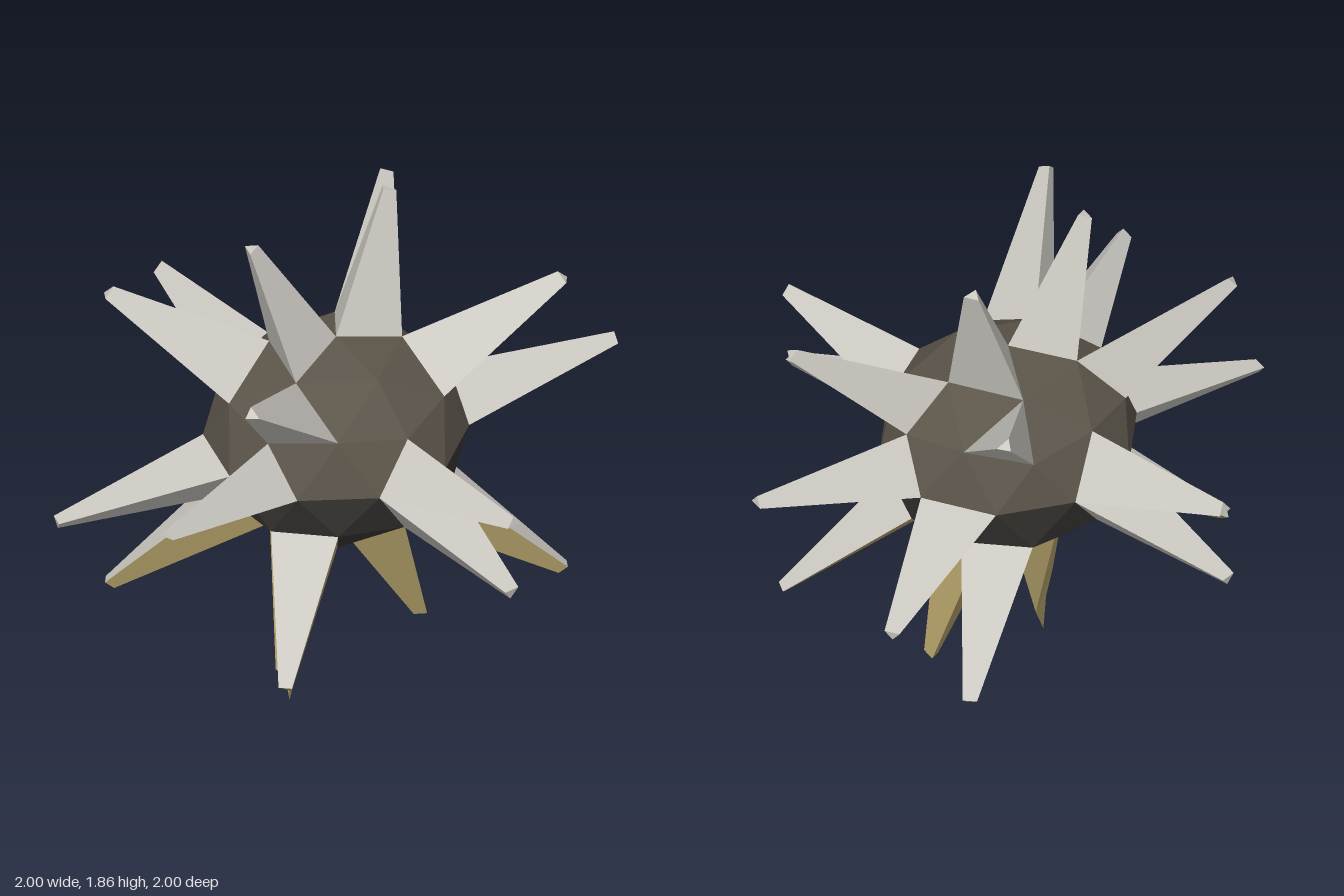
import * as THREE from 'three';

const RADII = new THREE.Vector3(0.45, 0.39, 0.47); // body half sizes
const CENTRE = new THREE.Vector3(0, 1.015, 0);
const REACH = 2.38; // spike tip distance relative to its base
const TIP = 0.2; // tip size relative to its base

// Rings of body corners: [height, radius] on the unit sphere
const RINGS = { pole: [1, 0], cap: [0.8507, 0.5257], mid: [0.5257, 0.8507], shoulder: [0.4472, 0.8944], waist: [0, 1] };

function corner([ring, degrees]) {
  const [y, r] = RINGS[ring];
  const a = THREE.MathUtils.degToRad(degrees);
  return new THREE.Vector3(r * Math.cos(a), y, r * Math.sin(a));
}

const place = (v) => v.clone().multiply(RADII).add(CENTRE);

function facetMesh(name, triangles, material) {
  const geometry = new THREE.BufferGeometry().setFromPoints(triangles.flat());
  geometry.computeVertexNormals();
  const mesh = new THREE.Mesh(geometry, material);
  mesh.name = name;
  return mesh;
}

// Tip with a bent, pointed barb; ring is the three tip corners in order
function barbedTip([q, v1, v2]) {
  const c1 = new THREE.Vector3(0.07, 0.13, 0.26);
  const c2 = new THREE.Vector3(0.05, 0.12, 0.265);
  const apex = new THREE.Vector3(0.037, 0, 0.235);
  return [[q, v1, c1], [v1, c2, c1], [v1, v2, c2], [v2, q, c2], [q, c1, apex], [c1, c2, apex], [c2, q, apex]];
}

export function createModel() {
  const model = new THREE.Group();
  model.name = 'spikedBall';
  const makeMaterial = (name, color) => {
    const m = new THREE.MeshStandardMaterial({ color, flatShading: true });
    m.name = name;
    return m;
  };
  const brown = makeMaterial('darkBrown', 0x5c554a);
  const charcoal = makeMaterial('charcoal', 0x3a3734);
  const grey = makeMaterial('paleGrey', 0xcdcac3);
  const gold = makeMaterial('dullGold', 0xb5a26a);

  // Faceted body, with a darker lower half
  const ball = new THREE.IcosahedronGeometry(1, 1);
  ball.rotateZ(-Math.atan(2 / (1 + Math.sqrt(5))));
  const pos = ball.getAttribute('position');
  const upper = [];
  const lower = [];
  for (let i = 0; i < pos.count; i += 3) {
    const tri = [0, 1, 2].map((j) => new THREE.Vector3().fromBufferAttribute(pos, i + j));
    const half = tri[0].y + tri[1].y + tri[2].y > 0 ? upper : lower;
    half.push(tri.map(place));
  }
  model.add(facetMesh('upperBody', upper, brown), facetMesh('lowerBody', lower, charcoal));

  // Spike bases on the upper half: two on the mirror plane, four mirrored pairs
  const bases = [
    [['shoulder', 0], ['waist', 18], ['waist', -18]],
    [['mid', 180], ['waist', 162], ['waist', 198]],
  ];
  const pairs = [
    [['pole', 0], ['cap', 72], ['cap', 144]],
    [['shoulder', 72], ['cap', 72], ['mid', 36]],
    [['shoulder', 144], ['cap', 144], ['mid', 108]],
    [['shoulder', 72], ['waist', 54], ['waist', 90]],
  ];
  for (const p of pairs) {
    bases.push(p, p.map(([ring, a]) => [ring, -a]));
  }

  function addSpike(base, low, barbed) {
    let ring = base.map(corner);
    // The lower half repeats the upper one turned half way round z
    if (low) ring.forEach((v) => v.set(-v.x, -v.y, v.z));
    const [p, q, r] = ring;
    if (p.dot(q.clone().cross(r)) < 0) ring = [p, r, q];
    const mid = ring[0].clone().add(ring[1]).add(ring[2]).divideScalar(3);
    const foot = ring.map(place);
    const tip = ring.map((v) => place(v.clone().sub(mid).multiplyScalar(TIP).addScaledVector(mid, REACH)));
    if (barbed) tip[0].set(0.0, 0.14, 0.15);

    const greyFaces = [];
    const goldFaces = [];
    for (let i = 0; i < 3; i++) {
      const j = (i + 1) % 3;
      const under = Math.min(ring[i].y, ring[j].y) < -0.8;
      (under ? goldFaces : greyFaces).push([foot[i], foot[j], tip[j]], [foot[i], tip[j], tip[i]]);
    }
    const goldTip = ring.some((v) => v.y < -0.8);
    (goldTip ? goldFaces : greyFaces).push(...(barbed ? barbedTip(tip) : [tip]));

    const spike = new THREE.Group();
    spike.name = barbed ? 'barbedSpike' : low ? 'lowerSpike' : 'upperSpike';
    if (greyFaces.length) spike.add(facetMesh('spikeGreySides', greyFaces, grey));
    if (goldFaces.length) spike.add(facetMesh('spikeGoldSides', goldFaces, gold));
    model.add(spike);
  }

  for (const base of bases) {
    addSpike(base, false, false);
    addSpike(base, true, base === pairs[0]);
  }
  return model;
}
